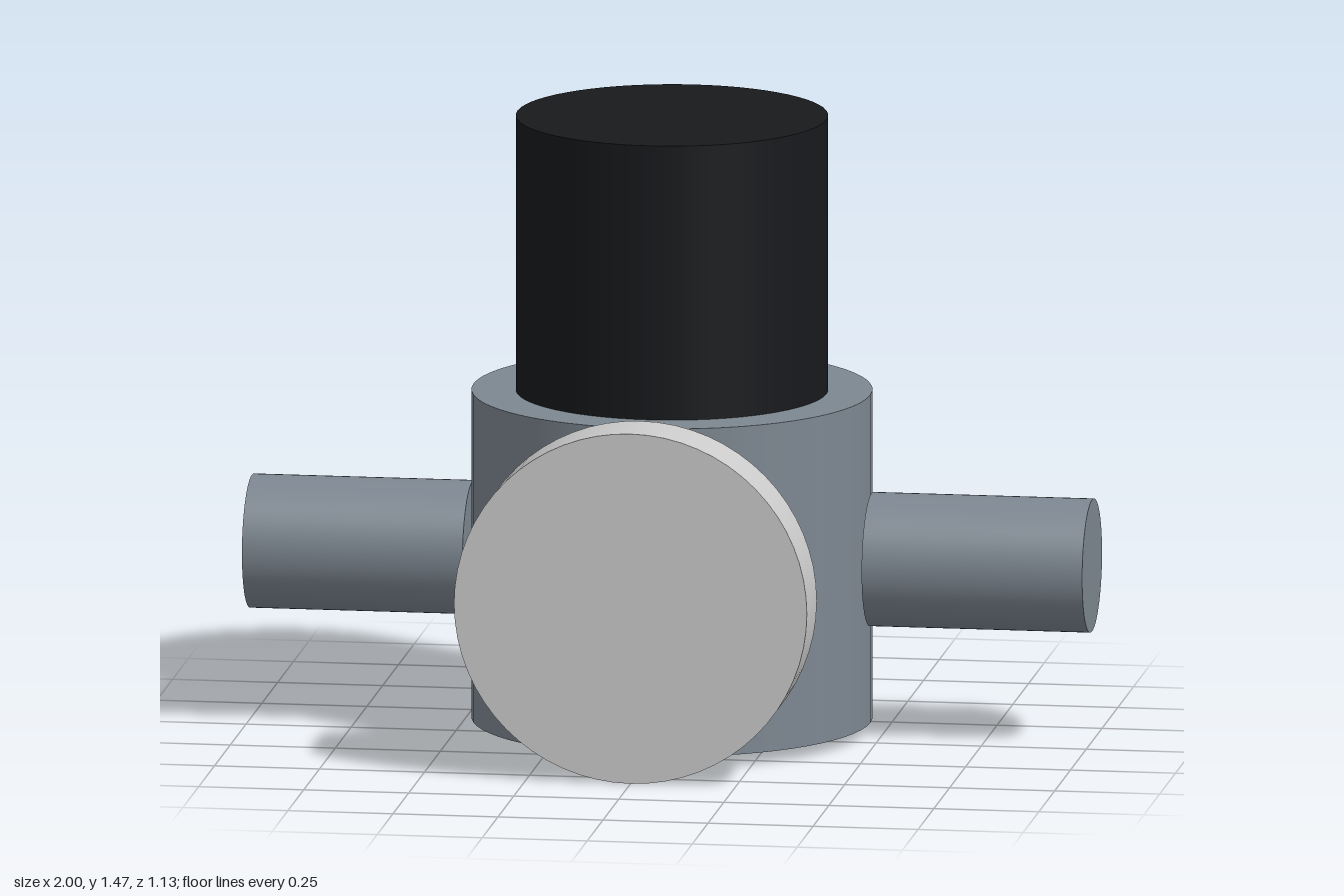
import * as THREE from 'three';

const SEGMENTS = 64;
const AXIS_Z = -0.093; // depth of the upright axis

export function createModel() {
  const group = new THREE.Group();
  const steel = new THREE.MeshStandardMaterial({ color: 0x7d8791 });
  const black = new THREE.MeshStandardMaterial({ color: 0x17191c });
  const grey = new THREE.MeshStandardMaterial({ color: 0xcccccc });

  const addCylinder = (name, radius, length, material, x, y, z) => {
    const geometry = new THREE.CylinderGeometry(radius, radius, length, SEGMENTS);
    const mesh = new THREE.Mesh(geometry, material);
    mesh.name = name;
    mesh.position.set(x, y, z);
    group.add(mesh);
    return mesh;
  };

  // Upright housing with the narrower cap on top
  addCylinder('body', 0.472, 0.787, steel, 0, 0.4235, AXIS_Z);
  addCylinder('topCap', 0.368, 0.658, black, 0, 1.146, AXIS_Z);

  // Side pipes, starting tangent to the housing
  for (const side of [-1, 1]) {
    const name = side > 0 ? 'leftPipe' : 'rightPipe';
    const pipe = addCylinder(name, 0.158, 0.525, steel, side * 0.7375, 0.4235, AXIS_Z);
    pipe.rotation.z = -side * Math.PI / 2;
  }

  // Round front disc, standing just clear of the housing
  const disc = addCylinder('frontDisc', 0.42, 0.157, grey, 0, 0.421, 0.4865);
  disc.rotation.x = Math.PI / 2;

  return group;
}
